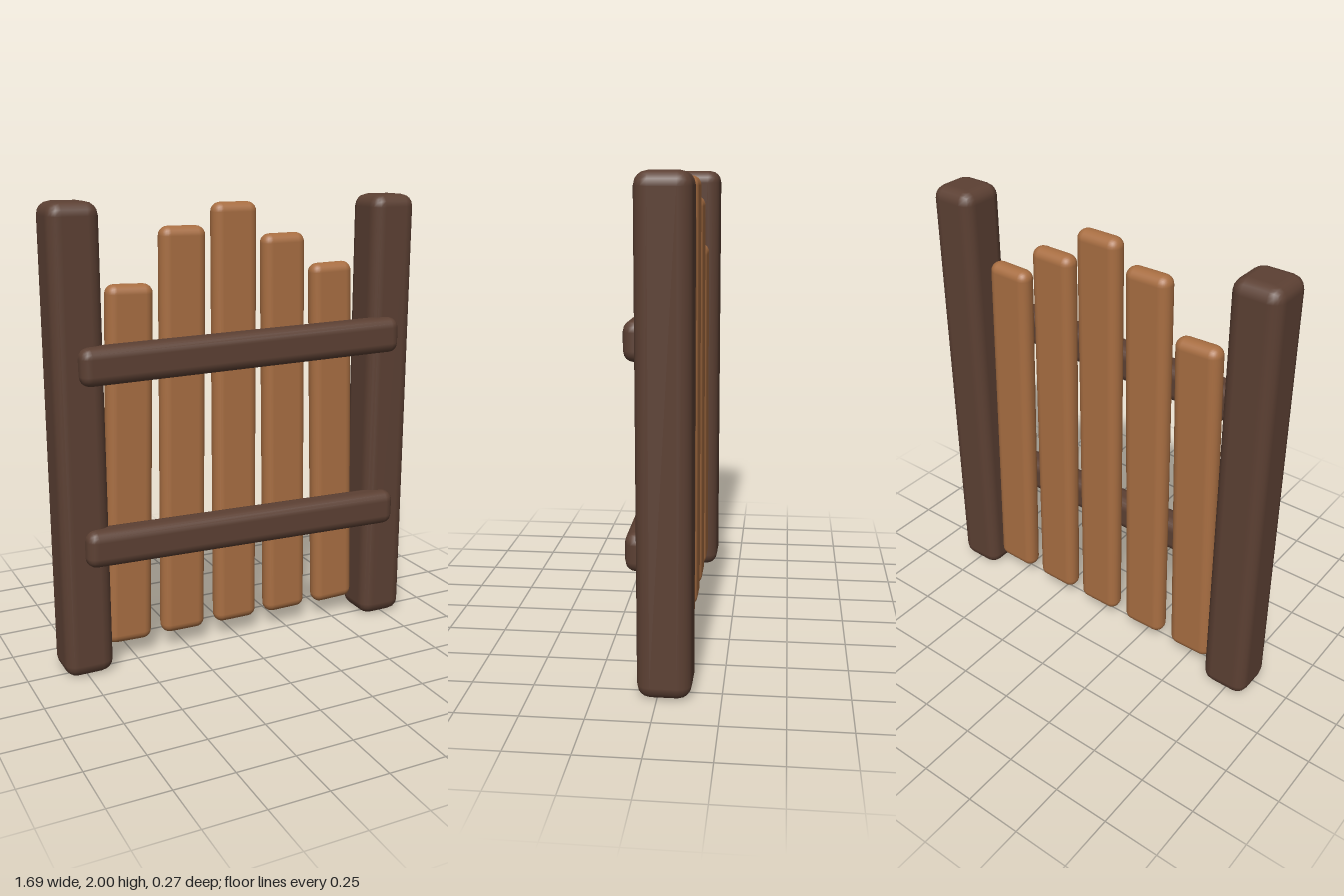
import * as THREE from 'three';
import { RoundedBoxGeometry } from 'three/addons/geometries/RoundedBoxGeometry.js';

const darkWood = new THREE.MeshStandardMaterial({ color: 0x5c4033 });
const lightWood = new THREE.MeshStandardMaterial({ color: 0xa86e42 });

// A beam with rounded edges, centred at (x, y, z) and tilted in the xy plane
function beam(name, size, radius, segments, material, [x, y, z], tilt = 0) {
  const mesh = new THREE.Mesh(new RoundedBoxGeometry(...size, segments, radius), material);
  mesh.name = name;
  mesh.position.set(x, y, z);
  mesh.rotation.z = tilt;
  return mesh;
}

export function createModel() {
  const model = new THREE.Group();
  model.name = 'fencePanel';

  // Thick end posts
  for (const side of [-1, 1]) {
    model.add(beam(side < 0 ? 'rightPost' : 'leftPost', [0.215, 2, 0.215], 0.055, 2, darkWood,
      [side * 0.738, 1, -0.027]));
  }

  // Slightly crooked cross rails on the front
  model.add(beam('upperRail', [1.5, 0.16, 0.12], 0.045, 2, darkWood, [0, 1.367, 0.075], 0.018));
  model.add(beam('lowerRail', [1.5, 0.16, 0.12], 0.045, 2, darkWood, [0, 0.572, 0.075], -0.018));

  // Slats fanning inwards: bottom x, top x, top y
  const bottomY = 0.075;
  const slats = [
    [-0.525, -0.48, 1.66],
    [-0.265, -0.24, 1.888],
    [-0.002, -0.002, 1.98],
    [0.257, 0.233, 1.842],
    [0.519, 0.475, 1.705],
  ];
  slats.forEach(([x0, x1, topY], i) => {
    const height = topY - bottomY;
    const tilt = Math.atan2(x0 - x1, height);
    model.add(beam(`slat${i + 1}`, [0.206, height, 0.086], 0.041, 3, lightWood,
      [(x0 + x1) / 2, (topY + bottomY) / 2, -0.051], tilt));
  });

  return model;
}
